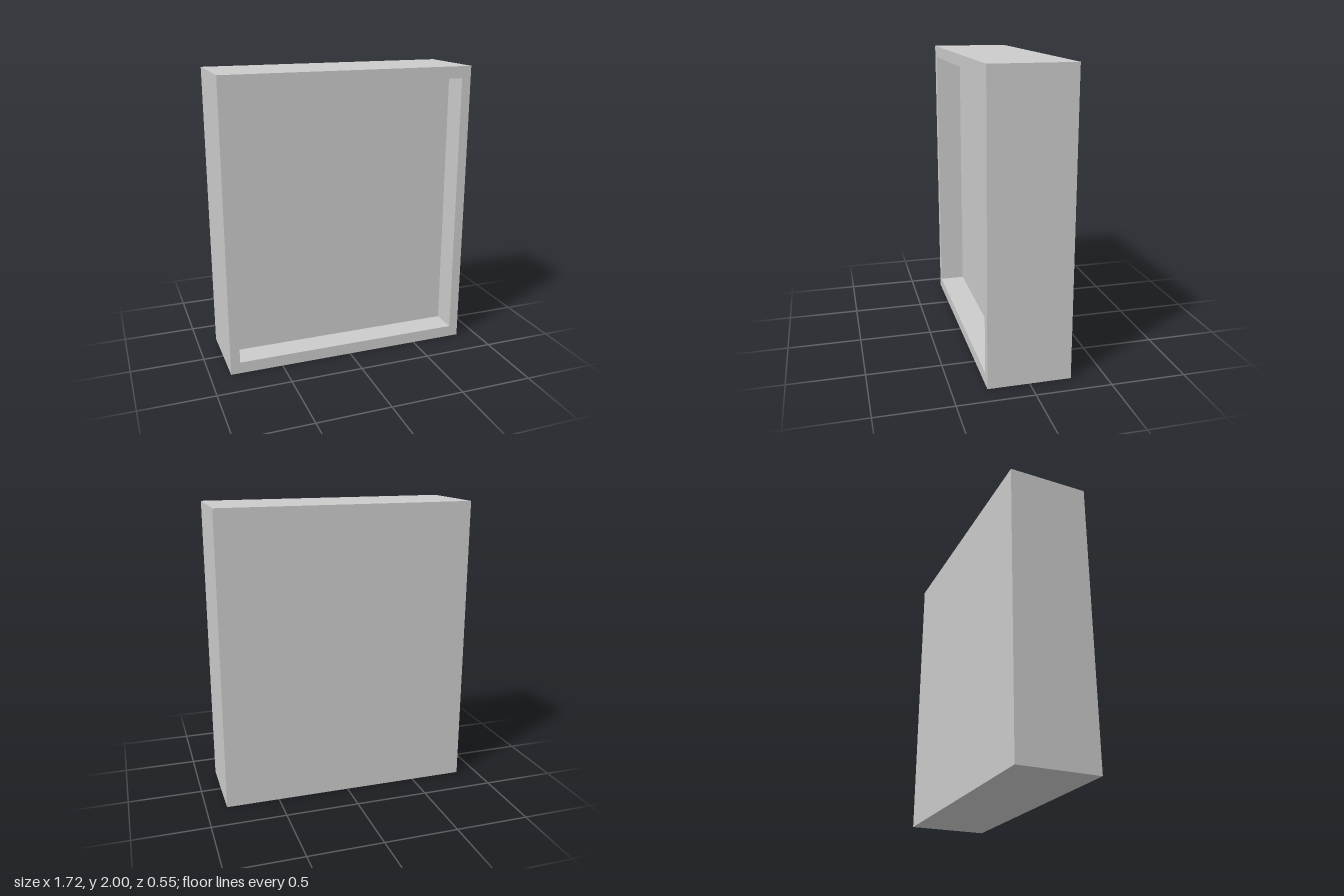
import * as THREE from 'three';

const WIDTH = 1.724, HEIGHT = 2, DEPTH = 0.55;
const RIM_X = 0.065, RIM_Y = 0.08, RECESS = 0.18;

// Rectangle of four corners, counter-clockwise seen from the front
function rectangle(insetX, insetY, z) {
  const x = WIDTH / 2 - insetX, bottom = insetY, top = HEIGHT - insetY;
  return [[-x, bottom, z], [x, bottom, z], [x, top, z], [-x, top, z]];
}

// Closed skin through a row of rectangles, capped at both ends
function loft(rings) {
  const positions = [];
  const quad = (a, b, c, d) => positions.push(...a, ...b, ...c, ...a, ...c, ...d);
  quad(...[...rings[0]].reverse());
  for (let r = 0; r < rings.length - 1; r++) {
    for (let i = 0; i < 4; i++) {
      const j = (i + 1) % 4;
      quad(rings[r][i], rings[r][j], rings[r + 1][j], rings[r + 1][i]);
    }
  }
  quad(...rings[rings.length - 1]);
  const geometry = new THREE.BufferGeometry();
  geometry.setAttribute('position', new THREE.Float32BufferAttribute(positions, 3));
  geometry.computeVertexNormals();
  return geometry;
}

export function createModel() {
  const group = new THREE.Group();
  group.name = 'recessedBox';
  const material = new THREE.MeshStandardMaterial({ color: 0xcccccc, flatShading: true });

  // Back, outer walls, front rim, recess walls and recess floor
  const front = DEPTH / 2;
  const body = new THREE.Mesh(loft([
    rectangle(0, 0, -front),
    rectangle(0, 0, front),
    rectangle(RIM_X, RIM_Y, front),
    rectangle(RIM_X, RIM_Y, front - RECESS),
  ]), material);
  body.name = 'boxWithFrontRecess';
  group.add(body);
  return group;
}
